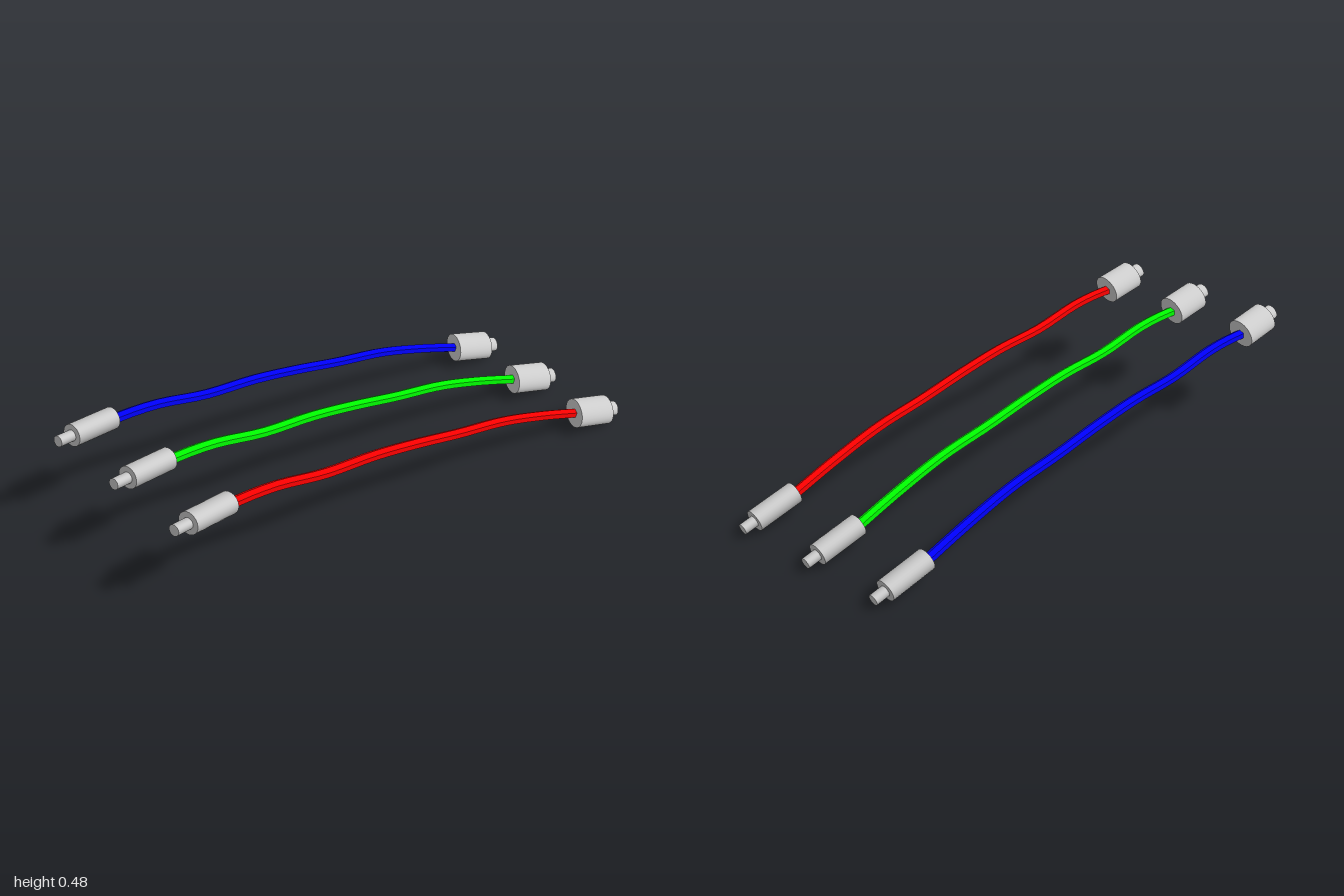
import * as THREE from 'three';

const grey = new THREE.MeshStandardMaterial({ color: 0xcccccc });

// Oval cylinder running along +z from z0 to z1
function ovalRod(name, rLong, rShort, z0, z1) {
  const geo = new THREE.CylinderGeometry(1, 1, z1 - z0, 28);
  geo.rotateX(Math.PI / 2);
  geo.scale(rLong, rShort, 1);
  geo.translate(0, 0, (z0 + z1) / 2);
  const mesh = new THREE.Mesh(geo, grey);
  mesh.name = name;
  return mesh;
}

// Plug: oval body plus a thinner pin, pointing from base along dir;
// longAxis is the direction of the wide side of the oval
function plug(name, base, dir, longAxis, bodyLength, totalLength) {
  const group = new THREE.Group();
  group.name = name;
  group.add(ovalRod('plugBody', 0.06, 0.042, 0, bodyLength));
  group.add(ovalRod('plugPin', 0.03, 0.021, bodyLength - 0.01, totalLength));
  const z = dir.clone().normalize();
  const y = new THREE.Vector3().crossVectors(z, longAxis).normalize();
  const x = new THREE.Vector3().crossVectors(y, z);
  group.quaternion.setFromRotationMatrix(new THREE.Matrix4().makeBasis(x, y, z));
  group.position.copy(base);
  return group;
}

// Centre line heights of the sagging cable, as [z, y]
const path = [
  [0.8, 0.412], [0.7, 0.412], [0.59, 0.402], [0.4, 0.361], [0.19, 0.341], [0, 0.307],
  [-0.19, 0.265], [-0.4, 0.225], [-0.6, 0.163], [-0.77, 0.1], [-0.81, 0.085],
];

function cable(color) {
  const points = path.map(([z, y]) => new THREE.Vector3(-0.012 - 0.161 * z, y, z));
  const geo = new THREE.TubeGeometry(new THREE.CatmullRomCurve3(points), 32, 0.02, 6);
  const mesh = new THREE.Mesh(geo, new THREE.MeshStandardMaterial({ color, flatShading: true }));
  mesh.name = 'wire';
  return mesh;
}

export function createModel() {
  const model = new THREE.Group();
  model.name = 'jumperCables';
  const cables = [['blueCable', 0x0000ff, -0.323], ['greenCable', 0x00ff00, 0], ['redCable', 0xff0000, 0.323]];
  for (const [name, color, x] of cables) {
    const group = new THREE.Group();
    group.name = name;
    group.add(cable(color));
    group.add(plug('frontPlug', new THREE.Vector3(-0.14, 0.417, 0.775),
      new THREE.Vector3(-0.03, 0.06, 1), new THREE.Vector3(1, 0.85, 0), 0.168, 0.225));
    group.add(plug('backPlug', new THREE.Vector3(0.117, 0.098, -0.779),
      new THREE.Vector3(0.2, -0.3, -1), new THREE.Vector3(-1, 0.95, 0), 0.178, 0.23));
    group.position.x = x;
    model.add(group);
  }
  return model;
}
